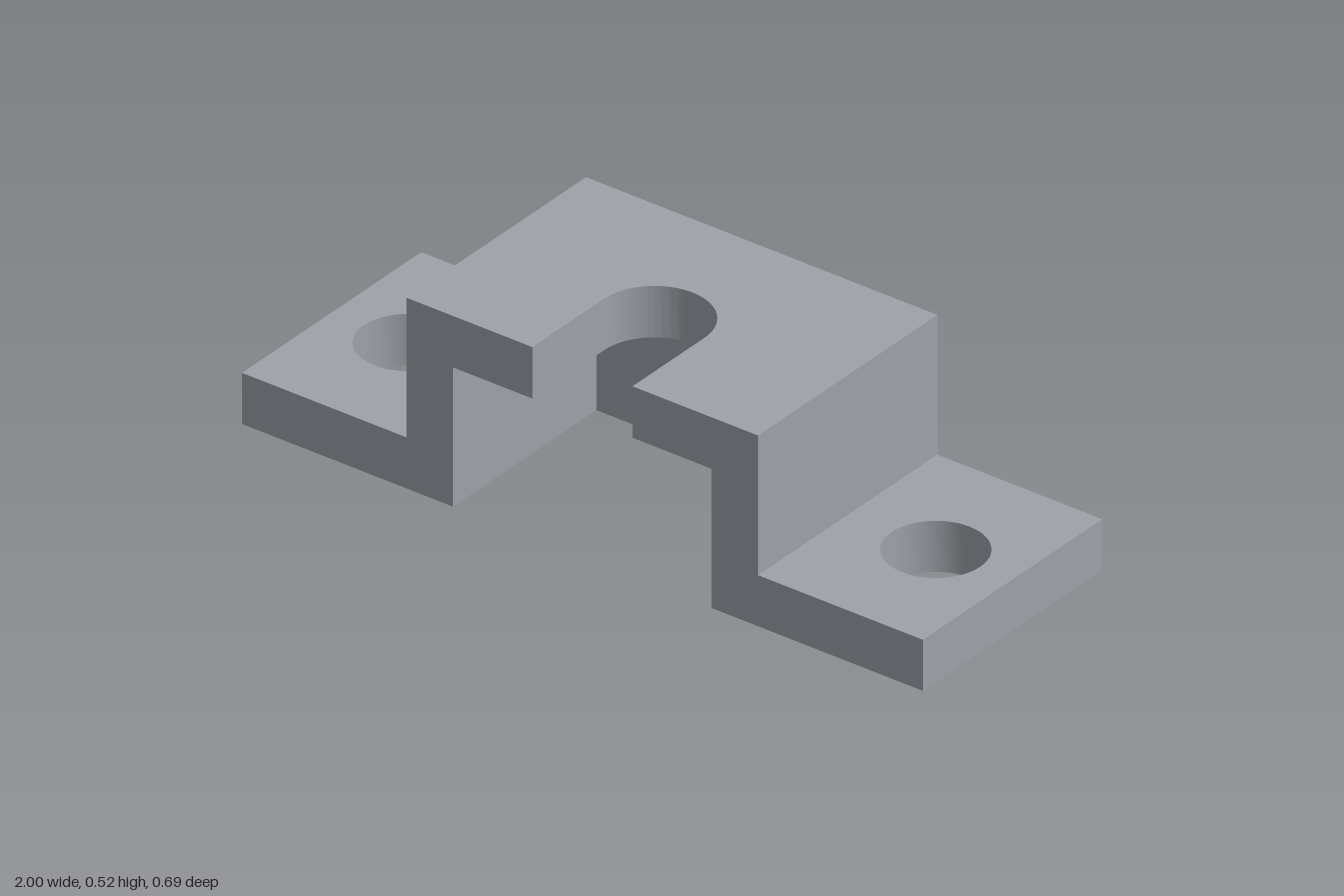
import * as THREE from 'three';
import { toCreasedNormals } from 'three/addons/utils/BufferGeometryUtils.js';

const DEPTH = 0.345;       // half depth of the bracket
const BODY = 0.516;        // half width of the raised body
const CAVITY = 0.38;       // half width of the cavity
const CAVITY_BACK = 0.207; // distance of the cavity's back wall behind centre
const FOOT_TOP = 0.139, ROOF_BOTTOM = 0.379, ROOF_TOP = 0.519;
const SLOT_R = 0.147, SLOT_Z = 0.068;

const material = new THREE.MeshStandardMaterial({ color: 0x9ea1a9 });

// Extrude a plan outline (x, -z) upwards between two heights
function layer(name, shape, bottom, top) {
  let geometry = new THREE.ExtrudeGeometry(shape, {
    depth: top - bottom, bevelEnabled: false, curveSegments: 32,
  });
  geometry.rotateX(-Math.PI / 2).translate(0, bottom, 0);
  geometry = toCreasedNormals(geometry, Math.PI / 6);
  const mesh = new THREE.Mesh(geometry, material);
  mesh.name = name;
  return mesh;
}

// Plan outline open at the front: a U around the cavity
function uShape(halfWidth) {
  return new THREE.Shape([
    [-halfWidth, -DEPTH], [-CAVITY, -DEPTH], [-CAVITY, CAVITY_BACK], [CAVITY, CAVITY_BACK],
    [CAVITY, -DEPTH], [halfWidth, -DEPTH], [halfWidth, DEPTH], [-halfWidth, DEPTH],
  ].map(([x, y]) => new THREE.Vector2(x, y)));
}

export function createModel() {
  const group = new THREE.Group();
  group.name = 'mountingBracket';

  // Mounting feet with a bolt hole each side, joined along the back
  const base = uShape(1);
  for (const side of [-1, 1]) {
    base.holes.push(new THREE.Path().absarc(side * 0.775, 0, 0.13, 0, Math.PI * 2, true));
  }
  group.add(layer('mountingFeet', base, 0, FOOT_TOP));

  // Side and back walls of the raised body
  group.add(layer('bodyWalls', uShape(BODY), FOOT_TOP, ROOF_BOTTOM));

  // Roof with a round-ended slot open to the front
  const roof = new THREE.Shape();
  roof.moveTo(-BODY, -DEPTH);
  roof.lineTo(-SLOT_R, -DEPTH);
  roof.lineTo(-SLOT_R, -SLOT_Z);
  roof.absarc(0, -SLOT_Z, SLOT_R, Math.PI, 0, true);
  roof.lineTo(SLOT_R, -DEPTH);
  roof.lineTo(BODY, -DEPTH);
  roof.lineTo(BODY, DEPTH);
  roof.lineTo(-BODY, DEPTH);
  roof.closePath();
  group.add(layer('slottedRoof', roof, ROOF_BOTTOM, ROOF_TOP));

  return group;
}
